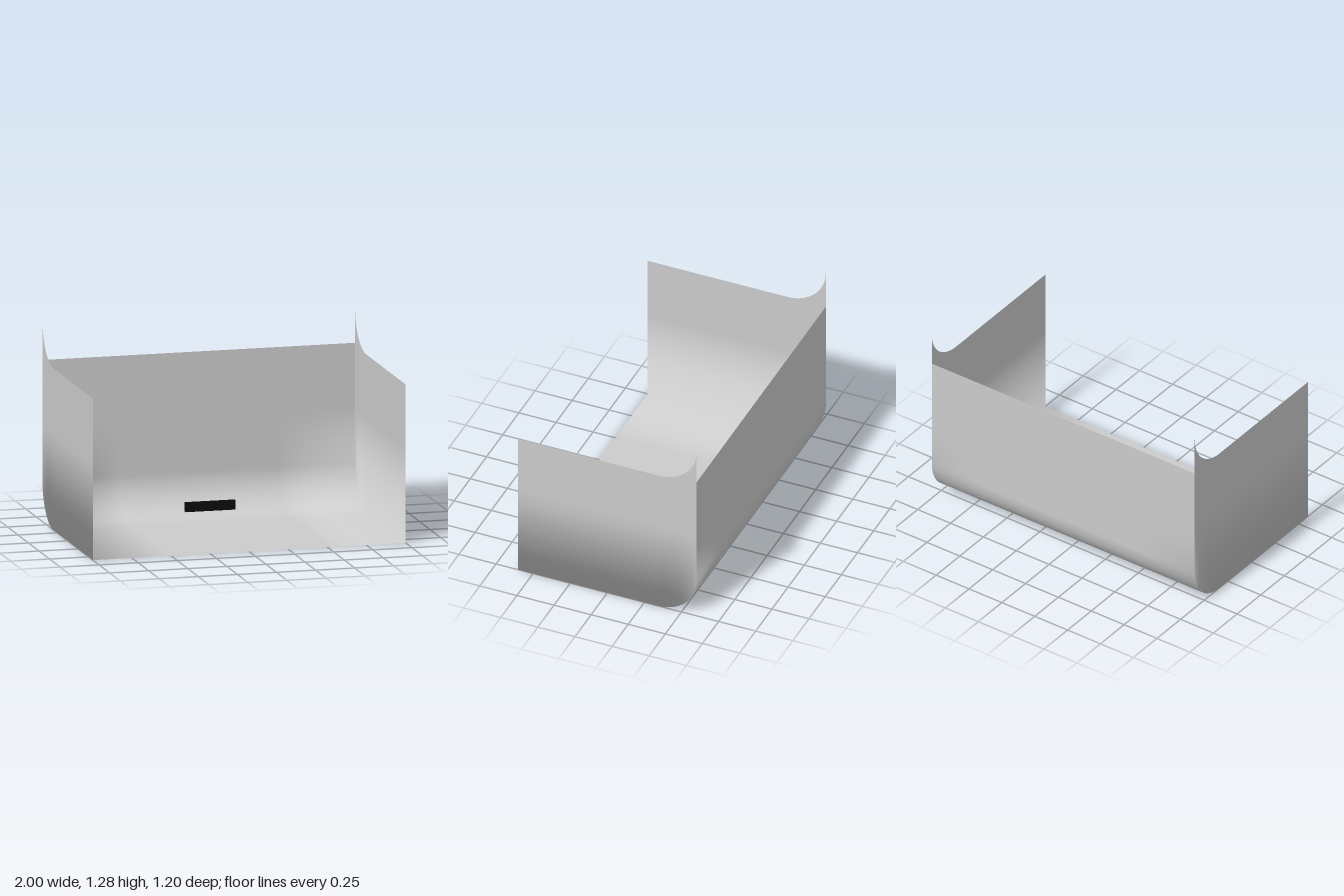
import * as THREE from 'three';

const R = 0.26, BACK = -0.6, FRONT = 0.6, BEND = BACK + R, TOP = 1.02;
const grey = new THREE.MeshStandardMaterial({ color: 0xcccccc, side: THREE.DoubleSide });
const black = new THREE.MeshStandardMaterial({ color: 0x0c0c0c });
const fade = (d, reach) => Math.max(0, 1 - d / reach);

// Grid surface: place(u, v) returns [position, normal]
function surface(name, nu, nv, place) {
  const g = new THREE.PlaneGeometry(1, 1, nu, nv);
  const { position: p, normal: n } = g.attributes;
  for (let i = 0; i < p.count; i++) {
    const [pos, nor] = place(p.getX(i) + 0.5, p.getY(i) + 0.5);
    p.setXYZ(i, pos.x, pos.y, pos.z);
    nor.normalize();
    n.setXYZ(i, nor.x, nor.y, nor.z);
  }
  const mesh = new THREE.Mesh(g, grey);
  mesh.name = name;
  return mesh;
}

// Floor, quarter-round cove and back wall as one section, front to top
const FLOOR = FRONT - BEND, ARC = R * Math.PI / 2, RISE = TOP - R;
function section(s) {
  if (s < FLOOR) return { z: FRONT - s, y: 0, ny: 1, nz: 0 };
  const a = Math.min((s - FLOOR) / R, Math.PI / 2);
  return {
    z: BEND - R * Math.sin(a),
    y: R - R * Math.cos(a) + Math.max(0, s - FLOOR - ARC),
    ny: Math.cos(a), nz: Math.sin(a),
  };
}

function backdrop() {
  return surface('floorCoveAndBackWall', 24, 80, (u, v) => {
    const { z, y, ny, nz } = section(v * (FLOOR + ARC + RISE));
    const x = u * 2 - 1;
    // The shading softens into the side walls near the floor
    const blend = fade(1 - Math.abs(x), 0.5) * fade(Math.max(0, y - R), 0.35);
    return [new THREE.Vector3(x, y, z), new THREE.Vector3(-Math.sign(x) * blend, ny, nz)];
  });
}

// Side wall: round lower back corner, top edge sweeping up at the back
function sideWall(name, side, top, sweep) {
  return surface(name, 60, 24, (u, v) => {
    const t = side < 0 ? u : 1 - u;
    // Stations are spaced by angle around the bend
    const a = Math.max(0, t - 0.4) / 0.6 * Math.PI / 2;
    const z = t < 0.4 ? FRONT - t / 0.4 * FLOOR : BEND - R * Math.sin(a);
    const lift = 1 - Math.cos(a);
    const y = THREE.MathUtils.lerp(R * lift, top + sweep * lift, v);
    const blend = fade(y, 0.6);
    return [new THREE.Vector3(side, y, z),
      new THREE.Vector3(-side, blend * Math.cos(a), blend * Math.sin(a))];
  });
}

export function createModel() {
  const model = new THREE.Group();
  model.name = 'studioCove';
  model.add(backdrop());
  model.add(sideWall('rightWall', -1, TOP, R));
  model.add(sideWall('leftWall', 1, 1.0, 0.24));

  // Small plain plate standing at the start of the cove
  const plate = new THREE.Mesh(new THREE.BoxGeometry(0.32, 0.06, 0.02), black);
  plate.name = 'plainPlate';
  plate.position.set(0, 0.1, -0.33);
  model.add(plate);
  return model;
}
